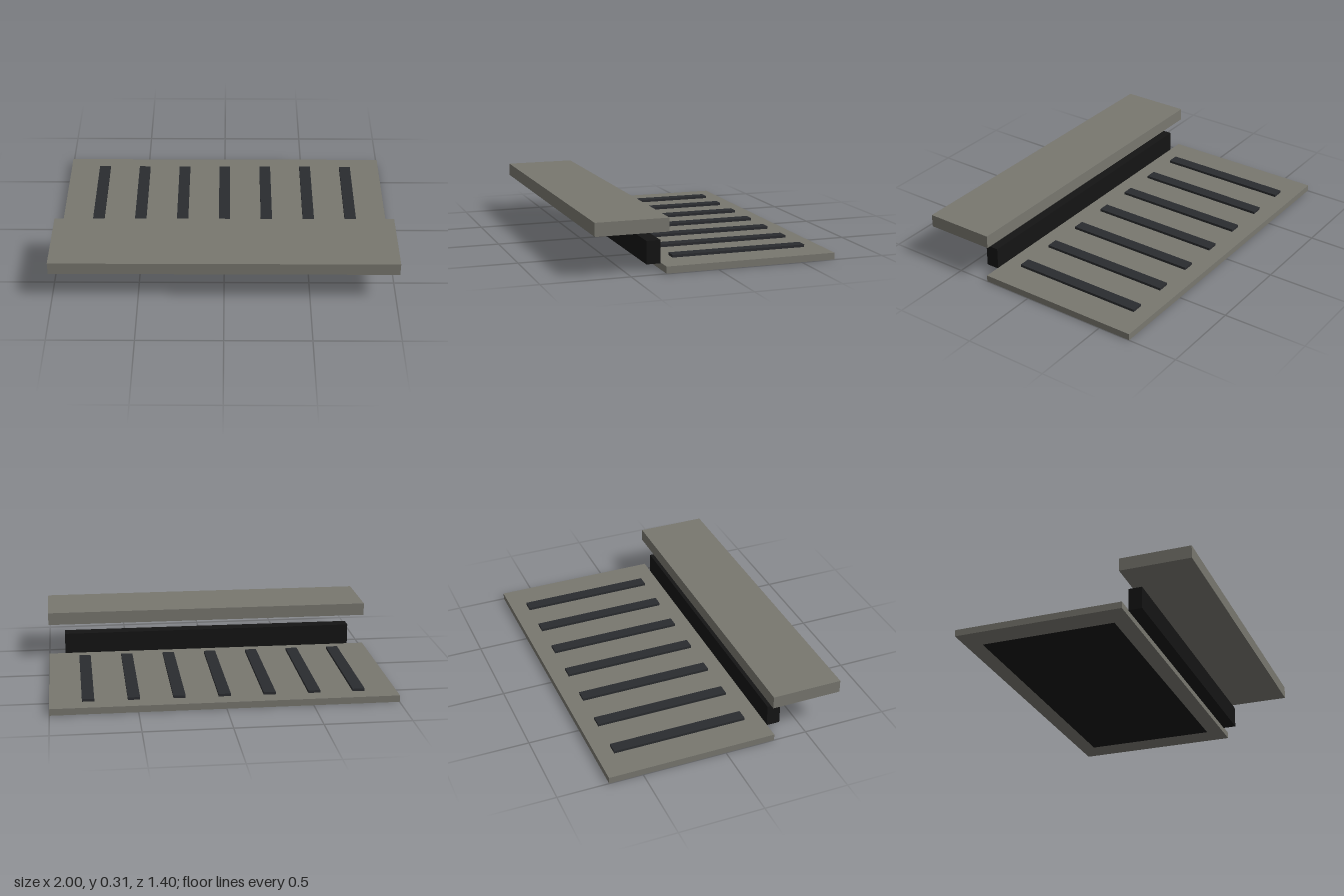
import * as THREE from 'three';

export function createModel() {
  const model = new THREE.Group();
  const stone = new THREE.MeshStandardMaterial({ color: 0x78776f });
  const slatDark = new THREE.MeshStandardMaterial({ color: 0x2a2c2f });
  const black = new THREE.MeshStandardMaterial({ color: 0x141414 });

  // Box given by its [min, max] range on each axis
  const box = (name, material, [x0, x1], [y0, y1], [z0, z1]) => {
    const mesh = new THREE.Mesh(new THREE.BoxGeometry(x1 - x0, y1 - y0, z1 - z0), material);
    mesh.position.set((x0 + x1) / 2, (y0 + y1) / 2, (z0 + z1) / 2);
    mesh.name = name;
    model.add(mesh);
  };

  // Base plate with a dark panel set into its underside
  box('basePlate', stone, [-1, 1], [0.001, 0.04], [-0.7, 0.3]);
  box('undersidePanel', black, [-0.85, 0.85], [0, 0.02], [-0.6, 0.2]);

  // Raised slats across the plate
  for (let i = -3; i <= 3; i++) {
    const x = i * 0.26;
    box('slat', slatDark, [x - 0.035, x + 0.035], [0.03, 0.055], [-0.6, 0.2]);
  }

  // Dark bar in front of the plate, and the slab floating above it
  box('frontBar', black, [-0.9, 0.9], [0.035, 0.166], [0.3, 0.38]);
  box('upperSlab', stone, [-1, 1], [0.232, 0.308], [0.283, 0.7]);

  return model;
}
